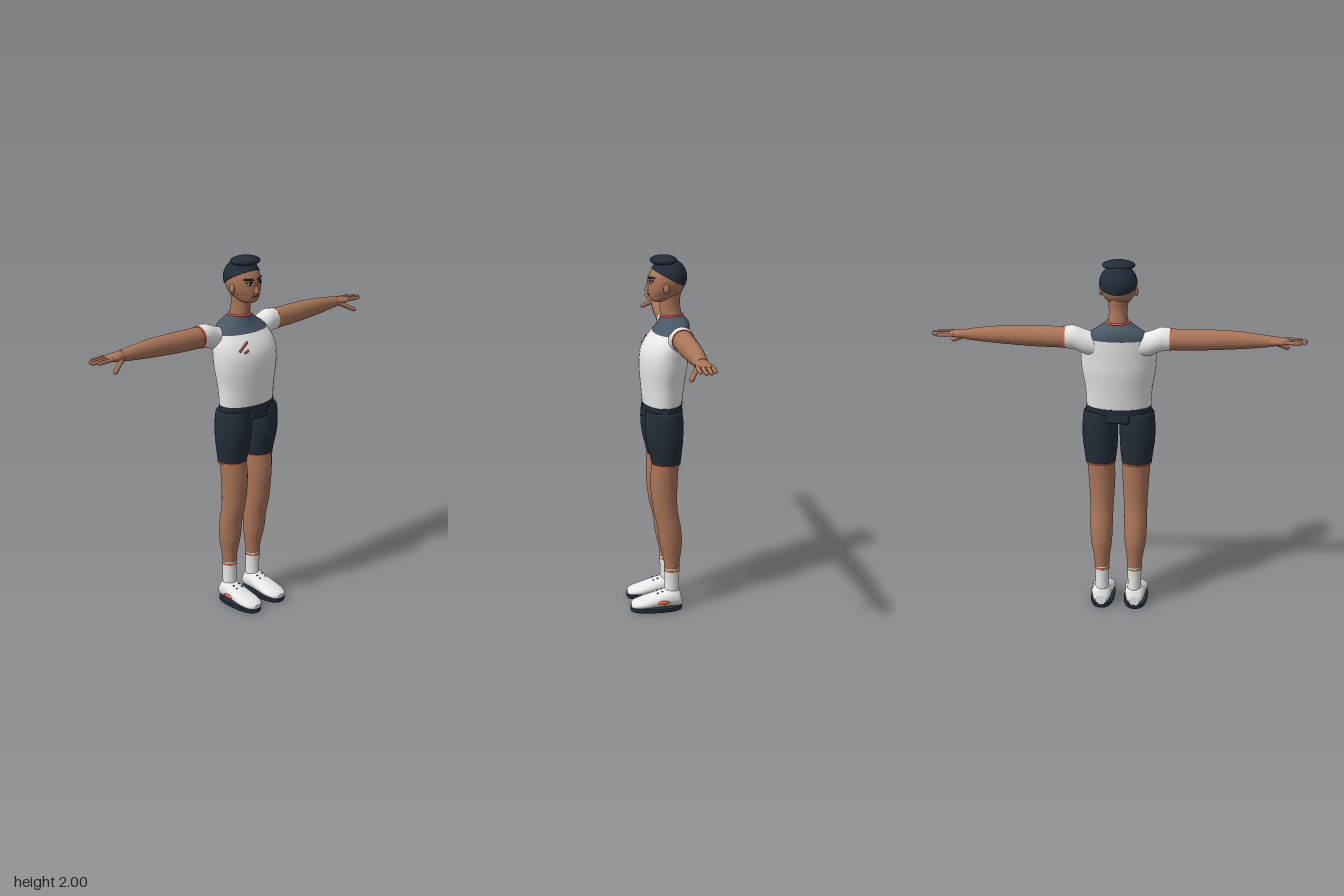
import * as THREE from 'three';
import { RoundedBoxGeometry } from 'three/addons/geometries/RoundedBoxGeometry.js';

const mat = (name, color) => {
  const m = new THREE.MeshStandardMaterial({ color });
  m.name = name;
  return m;
};

// Smooth tube through elliptical sections [t, c1, c2, r1, r2] along the axis.
// axis y: c = (x, z); axis x: c = (y, z); axis z: c = (x, y). power < 1 gives squarer rings.
function loft(sections, axis = 'y', { steps = 4, seg = 32, power = 1 } = {}) {
  const s1 = axis === 'x' ? -1 : 1, s2 = axis === 'z' ? -1 : 1;
  const centres = new THREE.CatmullRomCurve3(
    sections.map(([t, a, b]) => new THREE.Vector3(s1 * a, t, s2 * b)), false, 'catmullrom');
  const radii = new THREE.CatmullRomCurve3(
    sections.map((s) => new THREE.Vector3(s[3], s[4], 0)), false, 'catmullrom');
  const n = (sections.length - 1) * steps;
  const pos = [], idx = [];
  const bend = (v) => Math.sign(v) * Math.abs(v) ** power;
  const ring = (u) => {
    const c = centres.getPoint(u), r = radii.getPoint(u);
    for (let j = 0; j < seg; j++) {
      const a = (j / seg) * Math.PI * 2;
      pos.push(c.x + r.x * bend(Math.cos(a)), c.y, c.z + r.y * bend(Math.sin(a)));
    }
    return c;
  };
  for (let i = 0; i <= n; i++) ring(i / n);
  for (let i = 0; i < n; i++) {
    for (let j = 0; j < seg; j++) {
      const a = i * seg + j, b = i * seg + (j + 1) % seg;
      idx.push(a, a + seg, b, b, a + seg, b + seg);
    }
  }
  // flat end caps
  for (const end of [0, 1]) {
    const start = pos.length / 3;
    const c = ring(end);
    pos.push(c.x, c.y, c.z);
    for (let j = 0; j < seg; j++) {
      const a = start + j, b = start + (j + 1) % seg;
      if (end) idx.push(start + seg, b, a);
      else idx.push(start + seg, a, b);
    }
  }
  const g = new THREE.BufferGeometry();
  g.setAttribute('position', new THREE.Float32BufferAttribute(pos, 3));
  g.setIndex(idx);
  g.computeVertexNormals();
  if (axis === 'x') g.rotateZ(-Math.PI / 2);
  if (axis === 'z') g.rotateX(Math.PI / 2);
  return g;
}

// Rounded rod between two points
function rod(a, b, r) {
  const A = new THREE.Vector3(...a), B = new THREE.Vector3(...b);
  const d = B.clone().sub(A);
  const g = new THREE.CapsuleGeometry(r, d.length(), 5, 12);
  const q = new THREE.Quaternion().setFromUnitVectors(new THREE.Vector3(0, 1, 0), d.normalize());
  const m = A.add(B).multiplyScalar(0.5);
  return g.applyQuaternion(q).translate(m.x, m.y, m.z);
}

const ball = (x, y, z, rx, ry, rz) =>
  new THREE.SphereGeometry(1, 24, 16).scale(rx, ry, rz).translate(x, y, z);

// Mirror in x, keeping faces outward
function mirrored(geo) {
  const g = geo.clone().scale(-1, 1, 1);
  const i = g.index;
  for (let k = 0; k < i.count; k += 3) {
    const t = i.getX(k);
    i.setX(k, i.getX(k + 1));
    i.setX(k + 1, t);
  }
  return g;
}

export function createModel() {
  const skin = mat('skin', 0xaa7558);
  const white = mat('white cloth', 0xe8e9e8);
  const navy = mat('navy', 0x232d38);
  const slate = mat('slate yoke', 0x4a5866);
  const orange = mat('orange trim', 0xe0653f);
  const rust = mat('rust dash', 0x9c4630);
  const brown = mat('lip brown', 0x75452f);
  const black = mat('eye black', 0x14181d);

  const model = new THREE.Group();
  model.name = 'athlete';
  const part = (name, geo, material) => {
    const m = new THREE.Mesh(geo, material);
    m.name = name;
    model.add(m);
  };
  const pair = (name, geo, material) => {
    part(name + 'Left', geo, material);
    part(name + 'Right', mirrored(geo), material);
  };

  // Shirt
  part('shirt', loft([
    [1.19, 0, -0.018, 0.176, 0.108], [1.3, 0, -0.02, 0.183, 0.12], [1.4, 0, -0.024, 0.2, 0.131],
    [1.48, 0, -0.03, 0.205, 0.13], [1.54, 0, -0.046, 0.2, 0.118], [1.588, 0, -0.066, 0.18, 0.1],
  ]), white);
  part('yoke', loft([
    [1.588, 0, -0.066, 0.18, 0.1], [1.612, 0, -0.075, 0.16, 0.091], [1.64, 0, -0.08, 0.12, 0.081],
    [1.665, 0, -0.074, 0.08, 0.066], [1.68, 0, -0.07, 0.058, 0.06],
  ]), slate);
  part('collar', new THREE.TorusGeometry(0.06, 0.006, 10, 40).rotateX(Math.PI / 2)
    .translate(0, 1.676, -0.07), orange);
  part('chestDashLong', rod([-0.122, 1.513, 0.061], [-0.068, 1.55, 0.056], 0.007), rust);
  part('chestDashShort', rod([-0.1, 1.503, 0.077], [-0.082, 1.511, 0.079], 0.006), rust);
  pair('sleeve', loft([
    [0.1, 1.55, -0.085, 0.065, 0.055], [0.17, 1.567, -0.088, 0.066, 0.062],
    [0.23, 1.591, -0.09, 0.065, 0.062], [0.28, 1.592, -0.09, 0.06, 0.06],
  ], 'x'), white);
  pair('sleeveTrim', loft([
    [0.277, 1.592, -0.09, 0.061, 0.061], [0.287, 1.592, -0.09, 0.06, 0.06],
  ], 'x', { steps: 1 }), orange);

  // Arms and hands
  pair('arm', loft([
    [0.26, 1.591, -0.09, 0.057, 0.057], [0.42, 1.593, -0.092, 0.056, 0.054],
    [0.58, 1.597, -0.094, 0.051, 0.048], [0.7, 1.597, -0.096, 0.041, 0.04],
    [0.805, 1.596, -0.097, 0.029, 0.033],
  ], 'x'), skin);
  pair('palm', loft([
    [0.79, 1.597, -0.097, 0.026, 0.03], [0.83, 1.597, -0.097, 0.024, 0.039],
    [0.87, 1.598, -0.097, 0.017, 0.045], [0.9, 1.598, -0.097, 0.01, 0.043],
  ], 'x'), skin);
  [[-0.134, 0.955], [-0.11, 0.985], [-0.085, 0.99], [-0.061, 0.965]].forEach(([z, tip], i) =>
    pair('finger' + (i + 1), rod([0.88, 1.6, z], [tip, 1.597, z], 0.01), skin));
  pair('thumb', rod([0.81, 1.588, -0.075], [0.895, 1.545, -0.03], 0.0125), skin);

  // Shorts
  part('waistband', loft([
    [1.165, 0, -0.018, 0.179, 0.109], [1.198, 0, -0.018, 0.179, 0.111],
  ], 'y', { steps: 1 }), navy);
  part('pelvis', new RoundedBoxGeometry(0.13, 0.06, 0.215, 3, 0.015).translate(0, 1.145, -0.017), navy);
  pair('shortsLeg', loft([
    [1.17, 0.1, -0.017, 0.086, 0.09], [1.15, 0.1, -0.017, 0.095, 0.1], [1.08, 0.102, -0.017, 0.098, 0.105],
    [1, 0.102, -0.019, 0.097, 0.1], [0.93, 0.1, -0.024, 0.09, 0.089], [0.87, 0.1, -0.027, 0.082, 0.079],
  ].reverse()), navy);
  pair('shortsHem', loft([
    [0.864, 0.1, -0.027, 0.082, 0.079], [0.874, 0.1, -0.027, 0.084, 0.081],
  ], 'y', { steps: 1 }), orange);

  // Legs and socks
  pair('leg', loft([
    [0.24, 0.092, -0.062, 0.039, 0.041], [0.31, 0.093, -0.061, 0.046, 0.048],
    [0.4, 0.095, -0.055, 0.059, 0.063], [0.5, 0.096, -0.045, 0.064, 0.065],
    [0.6, 0.095, -0.024, 0.065, 0.068], [0.75, 0.094, -0.016, 0.073, 0.075],
    [0.9, 0.1, -0.025, 0.078, 0.075],
  ]), skin);
  pair('sock', loft([
    [0.08, 0.092, -0.062, 0.038, 0.041], [0.18, 0.092, -0.062, 0.038, 0.041],
    [0.25, 0.092, -0.062, 0.042, 0.044],
  ]), white);
  pair('sockStripe', loft([
    [0.23, 0.092, -0.062, 0.042, 0.0445], [0.24, 0.092, -0.062, 0.043, 0.045],
  ], 'y', { steps: 1 }), orange);

  // Shoes
  pair('shoe', loft([
    [-0.118, 0.095, 0.048, 0.03, 0.028], [-0.1, 0.095, 0.066, 0.047, 0.048],
    [-0.06, 0.095, 0.074, 0.056, 0.056], [-0.02, 0.095, 0.069, 0.058, 0.051],
    [0.04, 0.095, 0.057, 0.063, 0.041], [0.1, 0.095, 0.046, 0.065, 0.031],
    [0.15, 0.095, 0.038, 0.05, 0.022], [0.17, 0.095, 0.034, 0.025, 0.012],
  ], 'z'), white);
  pair('sole', loft([
    [0, 0.095, 0.027, 0.063, 0.144], [0.012, 0.095, 0.027, 0.068, 0.148],
    [0.024, 0.095, 0.027, 0.067, 0.147],
  ], 'y', { power: 0.8, steps: 2 }), navy);
  pair('shoeOval', ball(0.153, 0.058, -0.005, 0.007, 0.012, 0.038), orange);
  for (const [i, z] of [-0.005, 0.02].entries()) {
    for (const [j, dx] of [-0.02, 0.02].entries()) {
      pair(`laceDot${i}${j}`, ball(0.095 + dx, 0.111 - i * 0.009, z, 0.005, 0.005, 0.005), navy);
    }
  }

  // Neck and head
  part('neck', loft([
    [1.65, 0, -0.071, 0.058, 0.06], [1.7, 0, -0.064, 0.051, 0.057],
    [1.75, 0, -0.06, 0.05, 0.055], [1.81, 0, -0.062, 0.056, 0.06],
  ]), skin);
  part('head', loft([
    [1.752, 0, 0, 0.03, 0.035], [1.765, 0, -0.005, 0.052, 0.052], [1.79, 0, -0.026, 0.068, 0.084],
    [1.82, 0, -0.037, 0.085, 0.097], [1.86, 0, -0.043, 0.094, 0.1], [1.9, 0, -0.047, 0.091, 0.095],
    [1.94, 0, -0.052, 0.07, 0.07], [1.965, 0, -0.052, 0.03, 0.03],
  ]), skin);
  pair('ear', ball(0.093, 1.832, -0.03, 0.011, 0.026, 0.018), skin);

  // Hair: tilted cap with a flat quiff on top
  const cap = new THREE.SphereGeometry(0.101, 40, 20, 0, Math.PI * 2, 0, Math.PI / 2);
  const rim = new THREE.CircleGeometry(0.101, 40).rotateX(Math.PI / 2);
  for (const [name, g] of [['hairCap', cap], ['hairUnderside', rim]]) {
    part(name, g.rotateX(-0.49).translate(0, 1.88, -0.051), navy);
  }
  part('quiff', ball(0, 1.971, -0.026, 0.088, 0.026, 0.073), navy);

  // Face
  pair('eyeWhite', ball(0.039, 1.859, 0.046, 0.016, 0.008, 0.006), white);
  pair('iris', ball(0.039, 1.86, 0.0505, 0.008, 0.008, 0.004), black);
  pair('lash', rod([0.024, 1.867, 0.052], [0.056, 1.868, 0.037], 0.0035), black);
  pair('brow', rod([0.018, 1.88, 0.053], [0.062, 1.885, 0.031], 0.005), navy);
  part('nose', new THREE.ConeGeometry(0.02, 0.055, 16).translate(0, 1.838, 0.059), skin);
  part('mouth', rod([-0.018, 1.791, 0.055], [0.018, 1.791, 0.055], 0.0045), brown);

  return model;
}
